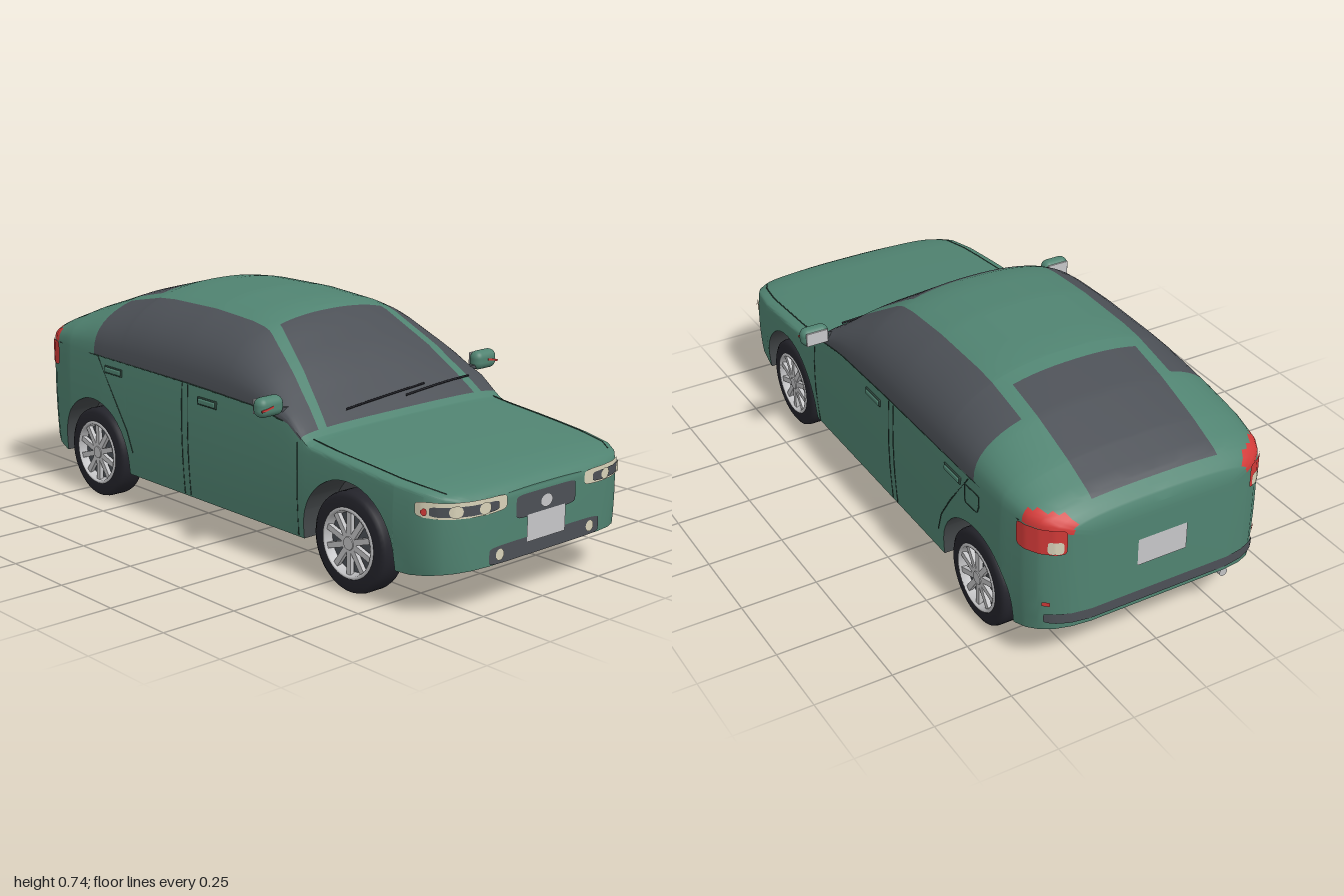
import * as THREE from 'three';
import { toCreasedNormals } from 'three/addons/utils/BufferGeometryUtils.js';
import { RoundedBoxGeometry } from 'three/addons/geometries/RoundedBoxGeometry.js';

const mat = (name, color) => Object.assign(new THREE.MeshStandardMaterial({ color }), { name });

// Tables of [z, value], front to back
const TOP = [[1, .35], [.99, .362], [.97, .372], [.9, .39], [.7, .41], [.43, .432], [.41, .448], [.39, .468], [.25, .598], [.1, .702], [.06, .719], [0, .731],
  [-.18, .743], [-.4, .739], [-.48, .731], [-.665, .68], [-.826, .62], [-.933, .571], [-.987, .533], [-1, .505]];
const BELT = [[1, .325], [.97, .345], [.9, .36], [.7, .378], [.45, .398], [.41, .422], [.35, .462], [.2, .487], [-.1, .496], [-.65, .5], [-.95, .5], [-.99, .485], [-1, .465]];
const ROUND = [[1, 2.6], [.41, 3.2], [.3, 2.6], [.1, 2.3], [-.5, 2.3], [-.9, 2.6], [-1, 2.6]];
const WIDTH = [[1, .24], [.99, .3], [.97, .345], [.94, .378], [.9, .4], [.8, .417], [.6, .423], [0, .423]];
const GLASS_EDGE = [[.41, .315], [.08, .215]];
const PILLAR_EDGE = [[.41, .348], [.08, .258]];
const ARCHES = [.61, -.652], ARCH_R = .19, HUB_Y = .153;

function look(table, z) {
  if (z >= table[0][0]) return table[0][1];
  for (let i = 1; i < table.length; i++) {
    const [z0, a] = table[i - 1], [z1, b] = table[i];
    if (z >= z1) return a + (b - a) * (z0 - z) / (z0 - z1);
  }
  return table[table.length - 1][1];
}
const width = z => look(WIDTH, Math.abs(z));
const sideX = (y, z) => {
  const f = Math.min(1, (y - .12) / (look(BELT, z) - .12));
  return width(z) * (1 - .025 * ((f - .6) / .6) ** 2);
};
const domeY = (x, z) => {
  const b = look(BELT, z), n = look(ROUND, z), w = sideX(b, z);
  return b + (look(TOP, z) - b) * Math.max(0, 1 - (x / w) ** n) ** (1 / n);
};
function bottomY(z) {
  for (const c of ARCHES) {
    const d = Math.abs(z - c);
    if (d <= ARCH_R + 1e-5) return HUB_Y + Math.sqrt(Math.max(0, ARCH_R ** 2 - d * d));
  }
  return .12 + Math.max(0, Math.abs(z) - .85) / .15 * (z > 0 ? .025 : .045);
}

// Half cross-section: 8 side rows, 8 side window rows, 2 pillar rows, 6 roof rows
function section(z) {
  const p = [], b = bottomY(z), belt = look(BELT, z), n = look(ROUND, z), w = sideX(belt, z), h = look(TOP, z) - belt;
  const xa = Math.min(look(GLASS_EDGE, z), .78 * w), xb = Math.min(look(PILLAR_EDGE, z), .86 * w);
  for (let i = 0; i < 8; i++) { const y = b + (belt - b) * i / 8; p.push([sideX(y, z), y, z]); }
  const end = Math.acos((xb / w) ** (n / 2));
  for (let i = 0; i < 8; i++) {
    const a = end * i / 8;
    p.push([w * Math.cos(a) ** (2 / n), belt + h * Math.sin(a) ** (2 / n), z]);
  }
  for (let i = 0; i < 2; i++) { const x = xb + (xa - xb) * i / 2; p.push([x, domeY(x, z), z]); }
  for (let i = 0; i <= 6; i++) { const x = xa * (1 - i / 6); p.push([x, domeY(x, z), z]); }
  return p;
}

function bodyGeometry() {
  const zs = new Set([.41, .08, -.525, -.645, -.95, -.88]);
  for (const t of [TOP, BELT, WIDTH]) for (const [z] of t) zs.add(z);
  for (const [z] of WIDTH) zs.add(-z);
  for (let i = -19; i < 20; i++) zs.add(i / 20);
  for (const c of ARCHES) {
    for (let i = 0; i <= 20; i++) zs.add(+(c + ARCH_R * Math.cos(Math.PI * i / 20)).toFixed(4));
    for (const s of [-1, 1]) zs.add(+(c + s * (ARCH_R + .001)).toFixed(4));
  }
  const rings = [...zs].sort((a, b) => b - a).map(section), last = rings.length - 1, top = 24;
  const faces = [[], [], [], []]; // paint, glass, underside, tail lamp
  const quad = (m, a, b, c, d) => faces[m].push(...a, ...b, ...c, ...a, ...c, ...d);
  const flip = p => [-p[0], p[1], p[2]];
  for (let i = 0; i < last; i++) {
    const A = rings[i], B = rings[i + 1], z = (A[0][2] + B[0][2]) / 2;
    for (let j = 0; j < top; j++) {
      const front = z < .41 && z > .08, rear = z < -.525 && z > -.95, side = z < .41 && z > -.645;
      let m = 0;
      if ((j >= 18 && (front || rear)) || (j >= 8 && j < 16 && side)) m = 1;
      else if (j >= 8 && z < -.88 && A[j][1] < .54 && A[j][0] > .3) m = 3;
      quad(m, A[j], B[j], B[j + 1], A[j + 1]);
      quad(m, flip(A[j]), flip(A[j + 1]), flip(B[j + 1]), flip(B[j]));
    }
    quad(2, A[0], flip(A[0]), flip(B[0]), B[0]);
  }
  for (let j = 0; j < top; j++) {
    const F = rings[0], R = rings[last];
    quad(0, F[j], F[j + 1], flip(F[j + 1]), flip(F[j]));
    quad(0, flip(R[j]), flip(R[j + 1]), R[j + 1], R[j]);
  }
  const g = new THREE.BufferGeometry();
  g.setAttribute('position', new THREE.Float32BufferAttribute(faces.flat(), 3));
  let start = 0;
  faces.forEach((f, m) => { g.addGroup(start, f.length / 3, m); start += f.length / 3; });
  return toCreasedNormals(g, .6);
}

// Thin plate wrapped round the nose (end 1) or tail (end -1); s is the distance from the centre line
const OUTLINE = [[0, 1], ...WIDTH.slice(0, 7).map(([z, x]) => [x, z])];
function onOutline(s, offset) {
  let left = Math.abs(s);
  for (let i = 1; ; i++) {
    const [x0, z0] = OUTLINE[i - 1], [x1, z1] = OUTLINE[i], l = Math.hypot(x1 - x0, z1 - z0);
    if (left <= l || i === OUTLINE.length - 1) {
      const tx = (x1 - x0) / l, tz = (z1 - z0) / l;
      return [Math.sign(s) * (x0 + tx * left - tz * offset), z0 + tz * left + tx * offset];
    }
    left -= l;
  }
}
function plate(end, m, s0, s1, y, h, power, layer) {
  const N = 28, pos = [], idx = [];
  for (let i = 0; i <= N; i++) {
    const c = -Math.cos(Math.PI * i / N), r = h * Math.max(0, 1 - Math.abs(c) ** power) ** (1 / power);
    const [x, z] = onOutline(m * (s0 + (s1 - s0) * (c + 1) / 2), .0025 * layer);
    pos.push(x, y - r, z * end, x, y + r, z * end);
    const a = 2 * i;
    if (i < N) idx.push(...(m * end > 0 ? [a, a + 2, a + 3, a, a + 3, a + 1] : [a, a + 3, a + 2, a, a + 1, a + 3]));
  }
  const g = new THREE.BufferGeometry();
  g.setAttribute('position', new THREE.Float32BufferAttribute(pos, 3));
  g.setIndex(idx);
  g.computeVertexNormals();
  return g;
}

export function createModel() {
  const car = new THREE.Group();
  car.name = 'car';
  const paint = mat('green paint', 0x508371), glass = mat('dark glass', 0x4c5056), under = mat('underbody grey', 0x45494b),
    rubber = mat('tyre black', 0x24242b), alloy = mat('alloy silver', 0xc2c2c4), pale = mat('plate grey', 0xc6c6c8),
    cream = mat('lamp cream', 0xd8d2b8), red = mat('lamp red', 0xd23a38), dark = mat('seam dark green', 0x2b4239);
  const add = (name, geo, material, x = 0, y = 0, z = 0, parent = car) => {
    const o = new THREE.Mesh(geo, material);
    o.name = name;
    o.position.set(x, y, z);
    parent.add(o);
    return o;
  };
  const tube = (name, pts, r, material) => {
    const path = new THREE.CurvePath(), v = pts.map(p => new THREE.Vector3(...p));
    for (let i = 1; i < v.length; i++) path.add(new THREE.LineCurve3(v[i - 1], v[i]));
    return add(name, new THREE.TubeGeometry(path, 24, r, 5), material);
  };

  add('body', bodyGeometry(), [paint, glass, under, red]);

  // Nose and tail fittings
  add('grille', plate(1, 1, -.127, .127, .295, .035, 8, 1), glass);
  add('badgePlate', plate(1, 1, -.025, .025, .293, .019, 2, 2), pale);
  add('frontPlate', plate(1, 1, -.082, .082, .225, .041, 40, 2), pale);
  add('lowerIntake', plate(1, 1, -.235, .235, .172, .027, 8, 1), glass);
  add('rearPlate', plate(-1, 1, -.085, .085, .35, .045, 40, 1), pale);
  add('rearBumperStrip', plate(-1, 1, -.38, .38, .195, .017, 12, 1), glass);
  for (const m of [1, -1]) {
    add('headlight', plate(1, m, .165, .465, .325, .024, 6, 1), cream);
    add('headlightInner', plate(1, m, .2, .42, .322, .015, 6, 2), glass);
    for (const s of [.255, .345]) add('headlightLens', plate(1, m, s - .02, s + .02, .323, .018, 2, 3), cream);
    add('turnSignal', plate(1, m, .425, .442, .32, .011, 2, 3), red);
    add('fogLamp', plate(1, m, .176, .21, .173, .017, 2, 2), cream);
    add('tailLight', plate(-1, m, .315, .475, .462, .042, 8, 1), red);
    add('reverseLamp', plate(-1, m, .325, .37, .445, .02, 5, 2), cream);
    add('rearReflector', plate(-1, m, .36, .385, .245, .007, 6, 1), red);
  }

  // Panel gaps, handles and mirrors
  for (const m of [1, -1]) {
    const seam = (name, zy) => tube(name, zy.map(([z, y]) => [m * sideX(y, z), y, z]), .002, dark);
    seam('frontDoorGap', [[.395, .125], [.398, .25], [.398, .35], [.395, .415]]);
    seam('middleDoorGap', [[-.13, .125], [-.13, .25], [-.13, .35], [-.13, .49]]);
    seam('pillarGap', [[-.16, .125], [-.16, .25], [-.16, .35], [-.16, .49]]);
    seam('rearDoorGap', [[-.435, .2], [-.46, .27], [-.52, .36], [-.62, .495]]);
    seam('beltGap', [[.33, .465], [.2, .485], [-.1, .494], [-.64, .498], [-.87, .498]]);
    tube('bonnetGap', [.43, .55, .7, .8, .9, .94].map(z => {
      const x = .91 * width(z);
      return [m * x, domeY(x, z), z];
    }), .002, dark);
    for (const [z, y] of [[-.03, .45], [-.53, .46]]) {
      add('handleRecess', new RoundedBoxGeometry(.008, .026, .095, 2, .003), dark, m * sideX(y, z), y, z);
      add('doorHandle', new RoundedBoxGeometry(.012, .018, .086, 2, .005), paint, m * (sideX(y, z) + .002), y, z);
    }
    const mirror = new THREE.Group();
    mirror.name = 'mirror';
    mirror.position.set(m * .458, .514, .31);
    car.add(mirror);
    add('mirrorShell', new RoundedBoxGeometry(.096, .062, .05, 5, .024), paint, 0, 0, 0, mirror);
    add('mirrorGlass', new RoundedBoxGeometry(.076, .046, .006, 2, .002), pale, 0, 0, -.024, mirror);
    add('mirrorArm', new THREE.BoxGeometry(.06, .012, .02), glass, -m * .058, -.018, 0, mirror);
    add('mirrorSignal', new THREE.BoxGeometry(.045, .006, .005), red, m * .022, -.002, .024, mirror).rotation.z = -m * .2;
  }
  // Fuel flap on the left side
  tube('fuelFlapGap', [[-.6, .465], [-.675, .465], [-.68, .43], [-.67, .405], [-.605, .405], [-.6, .465]]
    .map(([z, y]) => [sideX(y, z), y, z]), .002, dark);

  // Wipers
  for (const [x0, x1] of [[-.22, .13], [.03, .33]]) {
    const pts = [0, .25, .5, .75, 1].map(t => {
      const x = x0 + (x1 - x0) * t, z = .385 - .02 * t;
      return [x, domeY(Math.abs(x), z) + .007, z + .004];
    });
    tube('wiper', pts, .0035, rubber);
  }

  // Exhaust on the right side
  const pipe = add('exhaust', new THREE.CylinderGeometry(.014, .014, .06, 16), alloy, -.25, .135, -.95);
  pipe.rotation.x = Math.PI / 2;

  // Wheels and arch liners
  const V = (x, y) => new THREE.Vector2(x, y);
  const tyre = new THREE.LatheGeometry([V(0, -.03), V(.1, -.03), V(.105, -.044), V(.138, -.044), V(.15, -.036), V(.153, -.025),
    V(.153, .025), V(.15, .036), V(.138, .044), V(.106, .044), V(.1, .044)], 48);
  const rim = new THREE.LatheGeometry([V(.108, .044), V(.106, .047), V(.098, .047), V(.09, .02)], 48);
  const dish = new THREE.CylinderGeometry(.098, .098, .02, 40);
  const hub = new THREE.CylinderGeometry(.02, .026, .02, 20);
  const spoke = new THREE.BoxGeometry(.076, .014, .018).translate(.058, 0, 0);
  for (const z of ARCHES) for (const m of [1, -1]) {
    const wheel = new THREE.Group();
    wheel.name = 'wheel';
    wheel.position.set(m * .368, HUB_Y, z);
    wheel.rotation.z = -m * Math.PI / 2;
    car.add(wheel);
    add('tyre', tyre, rubber, 0, 0, 0, wheel);
    add('rim', rim, alloy, 0, 0, 0, wheel);
    add('rimDish', dish, glass, 0, .012, 0, wheel);
    add('hub', hub, alloy, 0, .034, 0, wheel);
    for (let i = 0; i < 10; i++) add('spoke', spoke, alloy, 0, .034, 0, wheel).rotation.y = i * Math.PI / 5;
    for (const side of [1, -1]) {
      const liner = add('archLiner', new THREE.CircleGeometry(.1895, 32, -.17, Math.PI + .34), under, m * .3, HUB_Y, z);
      liner.rotation.y = side * Math.PI / 2;
    }
  }
  return car;
}
